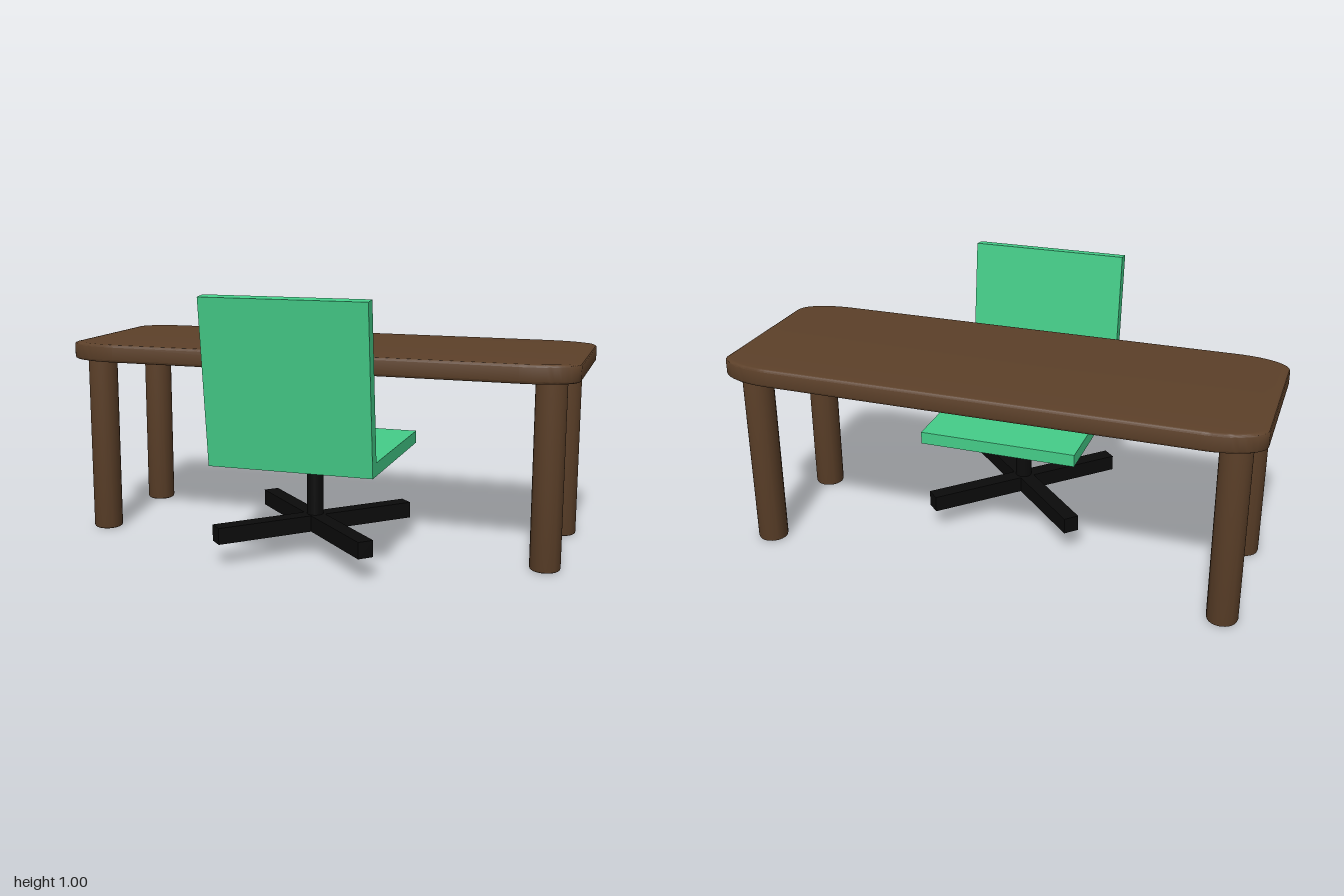
import * as THREE from 'three';
import { toCreasedNormals } from 'three/addons/utils/BufferGeometryUtils.js';

const paint = (color) => new THREE.MeshStandardMaterial({ color });

function add(parent, name, geometry, material, x = 0, y = 0, z = 0) {
  const mesh = new THREE.Mesh(geometry, material);
  mesh.name = name;
  mesh.position.set(x, y, z);
  parent.add(mesh);
  return mesh;
}

// Rounded rectangle centred on the origin
function roundedRect(w, d, r) {
  const s = new THREE.Shape();
  const x = w / 2 - r, y = d / 2 - r;
  s.absarc(x, y, r, 0, Math.PI / 2);
  s.absarc(-x, y, r, Math.PI / 2, Math.PI);
  s.absarc(-x, -y, r, Math.PI, Math.PI * 1.5);
  s.absarc(x, -y, r, Math.PI * 1.5, Math.PI * 2);
  s.closePath();
  return s;
}

function createDesk() {
  const desk = new THREE.Group();
  desk.name = 'desk';
  const wood = paint(0x5c4029);

  // Top: soft-edged slab stretched sideways, so its corners are elliptical
  const stretch = 2.35, depth = 0.712, bevel = 0.01;
  const slab = new THREE.ExtrudeGeometry(
    roundedRect(2 / stretch - 2 * bevel, depth - 2 * bevel, 0.078),
    { depth: 0.07 - 2 * bevel, bevelSize: bevel, bevelThickness: bevel, bevelSegments: 3, curveSegments: 10 }
  );
  slab.translate(0, 0, bevel).rotateX(-Math.PI / 2).scale(stretch, 1, 1);
  add(desk, 'deskTop', toCreasedNormals(slab, 0.6), wood, 0, 0.699, -0.165);

  // Legs: round posts with a slightly eased foot
  const profile = [[0, 0], [0.05, 0], [0.055, 0.003], [0.057, 0.01], [0.057, 0.705]]
    .map(([r, y]) => new THREE.Vector2(r, y));
  const leg = toCreasedNormals(new THREE.LatheGeometry(profile, 32), 0.7);
  for (const [side, x] of [['left', 0.895], ['right', -0.895]]) {
    add(desk, side + 'FrontLeg', leg, wood, x, 0, 0.081);
    add(desk, side + 'BackLeg', leg, wood, x, 0, -0.407);
  }
  return desk;
}

function createChair() {
  const chair = new THREE.Group();
  chair.name = 'chair';
  chair.position.set(0.027, 0, 0.1375);
  const green = paint(0x44cc88), black = paint(0x0b0b0b);

  // Seat and leaning backrest: one bent profile, drawn as (z, y)
  const profile = [[-0.31, 0.383], [0.31, 0.383], [0.383, 1], [0.335, 1.005], [0.266, 0.431], [-0.31, 0.431]];
  const width = 0.617;
  const shell = new THREE.ExtrudeGeometry(
    new THREE.Shape(profile.map(([z, y]) => new THREE.Vector2(-z, y))),
    { depth: width, bevelEnabled: false }
  );
  shell.translate(0, 0, -width / 2).rotateY(Math.PI / 2);
  add(chair, 'seatAndBackrest', shell, green, 0.007, 0, 0);

  // Post and diagonal cross base
  add(chair, 'post', new THREE.CylinderGeometry(0.032, 0.032, 0.26, 24), black, 0, 0.26, 0);
  const bar = new THREE.BoxGeometry(0.812, 0.062, 0.06);
  for (const turn of [1, -1]) {
    add(chair, 'baseBar', bar, black, -0.002, 0.119, 0).rotation.y = turn * Math.PI / 4;
  }
  return chair;
}

export function createModel() {
  const model = new THREE.Group();
  model.name = 'deskAndChair';
  model.add(createDesk(), createChair());
  return model;
}
